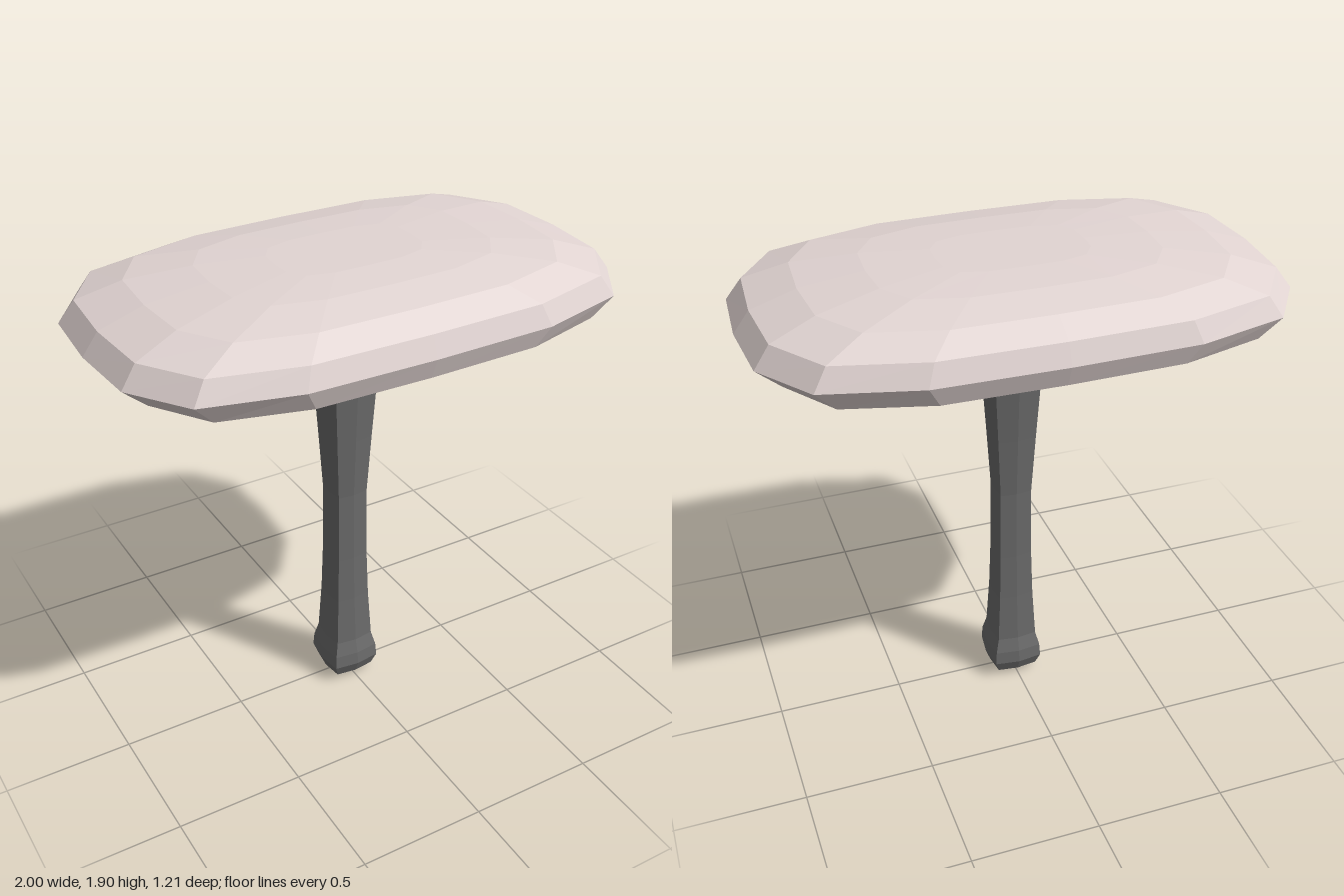
import * as THREE from 'three';

// Repeats a quarter outline (from +x towards -z) around the full turn, by mirroring
function fullOutline(quarter) {
  const half = [...quarter, ...quarter.slice(0, -1).reverse().map(([x, z]) => [-x, z])];
  return [...half, ...half.slice(1, -1).reverse().map(([x, z]) => [x, -z])];
}

// Skins rings [y, half width, half depth] that share one outline, and closes both ends
function loft(outline, rings) {
  const n = outline.length;
  const pos = [];
  const index = [];
  for (const [y, w, d] of rings) {
    for (const [x, z] of outline) pos.push(x * w, y, -z * d);
  }
  for (let i = 0; i < rings.length - 1; i++) {
    for (let j = 0; j < n; j++) {
      const a = i * n + j;
      const b = i * n + ((j + 1) % n);
      index.push(a, b, b + n, a, b + n, a + n);
    }
  }
  const last = rings.length - 1;
  const bottom = pos.length / 3;
  pos.push(0, rings[0][0], 0, 0, rings[last][0], 0);
  for (let j = 0; j < n; j++) {
    const k = (j + 1) % n;
    index.push(bottom, k, j, bottom + 1, last * n + j, last * n + k);
  }
  const geometry = new THREE.BufferGeometry();
  geometry.setAttribute('position', new THREE.Float32BufferAttribute(pos, 3));
  geometry.setIndex(index);
  return geometry.toNonIndexed();
}

function addPart(group, name, geometry, color) {
  geometry.computeVertexNormals();
  const mesh = new THREE.Mesh(geometry, new THREE.MeshStandardMaterial({ color, flatShading: true }));
  mesh.name = name;
  group.add(mesh);
}

export function createModel() {
  const group = new THREE.Group();
  group.name = 'mallet';

  // Pillow-shaped head, with a shallow socket underneath for the handle
  const headOutline = fullOutline([[1, 0], [0.98, 0.475], [0.83, 0.835], [0.48, 0.985], [0, 1]]);
  addPart(group, 'head', loft(headOutline, [
    [1.64, 0.13, 0.13],
    [1.635, 0.19, 0.18],
    [1.6, 0.25, 0.22],
    [1.595, 0.42, 0.33],
    [1.61, 0.7, 0.48],
    [1.65, 0.91, 0.575],
    [1.73, 1, 0.605],
    [1.81, 0.94, 0.575],
    [1.865, 0.77, 0.48],
    [1.895, 0.53, 0.33],
    [1.905, 0.28, 0.17],
  ]), 0xe2d5d3);

  // Square handle with bowed sides, a rounded pommel and a flared neck
  const handleOutline = fullOutline([[1, 0], [0.88, 0.88], [0, 1]]);
  const profile = [
    [0, 0.05], [0.025, 0.093], [0.075, 0.112], [0.13, 0.108], [0.19, 0.092], [0.4, 0.08],
    [0.6, 0.074], [0.9, 0.072], [1.15, 0.086], [1.38, 0.1], [1.6, 0.167], [1.66, 0.18],
  ];
  addPart(group, 'handle', loft(handleOutline, profile.map(([y, r]) => [y, r, r])), 0x6c6c6c);

  return group;
}
